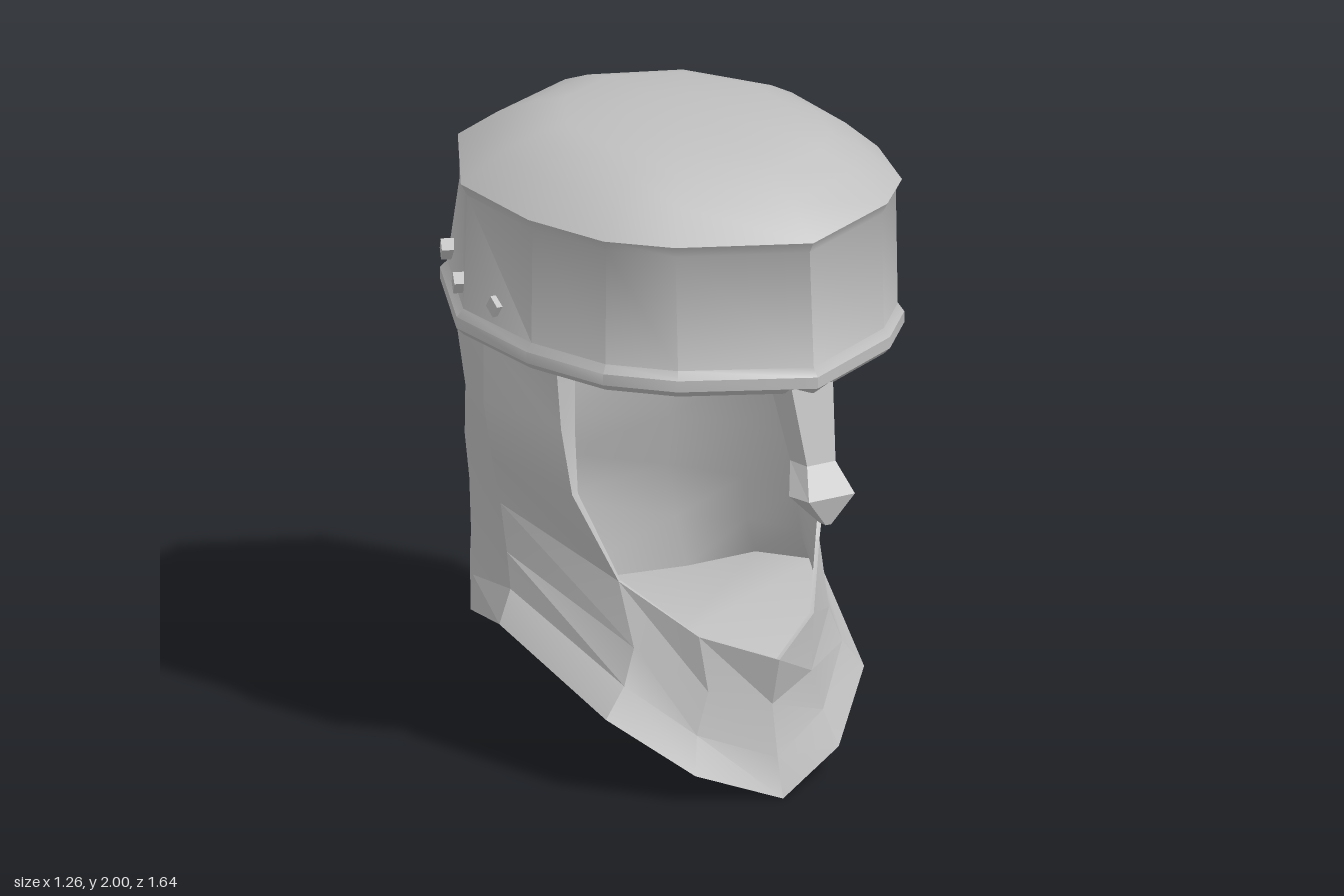
import * as THREE from 'three';
import { mergeGeometries, toCreasedNormals } from 'three/addons/utils/BufferGeometryUtils.js';

const steel = new THREE.MeshStandardMaterial({ color: 0xc0c0c0, side: THREE.DoubleSide });
steel.name = 'grey steel';

// Half a row of points (+x side, front to back) extended over the -x side
function mirrorRow(half) {
  const other = half.slice(0, -1).reverse().map(([x, y, z]) => [-x, y, z]);
  return [...half, ...other];
}

// Skin over rows of equal length, ordered from bottom to top
function loft(rows) {
  const n = rows[0].length, index = [];
  for (let r = 0; r < rows.length - 1; r++) {
    for (let c = 0; c < n - 1; c++) {
      const a = r * n + c, d = a + n;
      index.push(a, a + 1, d, a + 1, d + 1, d);
    }
  }
  const geo = new THREE.BufferGeometry();
  geo.setAttribute('position', new THREE.Float32BufferAttribute(rows.flat(2), 3));
  geo.setIndex(index);
  return geo;
}

function part(name, geo, crease) {
  const mesh = new THREE.Mesh(toCreasedNormals(geo, crease), steel);
  mesh.name = name;
  return mesh;
}

// Plan outlines [x, z], front to back
const topPlan = [[0, 0.72], [0.37, 0.54], [0.52, 0.38], [0.61, 0.1], [0.615, -0.27], [0.39, -0.65], [0, -0.815]];
const lipPlan = [[0, 0.745], [0.37, 0.555], [0.525, 0.385], [0.615, 0.1], [0.63, -0.27], [0.44, -0.67], [0, -0.82]];
const ring = (plan, s, y) => mirrorRow(plan.map(([x, z]) => [x * s, y, z * s]));

// Neck guard rows, front to back; the upper ones start at the face opening
const lowerRows = [
  [[0, 0, 0.55], [0.25, 0.09, 0.46], [0.45, 0.25, 0.28], [0.555, 0.44, -0.15], [0.5, 0.4, -0.4], [0.36, 0.33, -0.57], [0, 0.28, -0.77]],
  [[0, 0.12, 0.52], [0.22, 0.2, 0.42], [0.38, 0.34, 0.27], [0.51, 0.54, -0.16], [0.48, 0.5, -0.42], [0.36, 0.47, -0.63], [0, 0.54, -0.8]],
  [[0, 0.28, 0.49], [0.18, 0.33, 0.42], [0.34, 0.45, 0.26], [0.51, 0.65, -0.18], [0.48, 0.63, -0.43], [0.34, 0.63, -0.65], [0, 0.7, -0.75]],
  [[0, 0.43, 0.53], [0.2, 0.5, 0.4], [0.35, 0.64, 0.19], [0.52, 0.8, -0.2], [0.48, 0.8, -0.44], [0.32, 0.8, -0.6], [0, 0.85, -0.67]],
];
const upperRows = [
  lowerRows[3].slice(2),
  [[0.45, 0.9, 0.09], [0.55, 0.95, -0.2], [0.49, 0.94, -0.45], [0.3, 0.95, -0.62], [0, 0.98, -0.68]],
  [[0.47, 1.1, 0.06], [0.58, 1.13, -0.2], [0.5, 1.1, -0.43], [0.3, 1.12, -0.63], [0, 1.12, -0.69]],
  [[0.49, 1.34, 0.06], [0.58, 1.34, -0.2], [0.46, 1.34, -0.57], [0.3, 1.34, -0.66], [0, 1.34, -0.76]],
];
const shrink = (row, k) => row.map(([x, y, z]) => [x * k, y, z * k]);

function neckGuard() {
  const group = new THREE.Group();
  group.name = 'neckGuard';
  const skin = (lower, upper) => mergeGeometries([loft(lower.map(mirrorRow)), loft(upper.map(mirrorRow))]);
  group.add(part('outerGuard', skin(lowerRows, upperRows), 0.25));

  // Smooth lining, thicker towards the top
  const liningLower = lowerRows.map((row) => shrink(row, 0.97));
  const liningUpper = upperRows.map((row, i) => shrink(row, [0.97, 0.95, 0.89, 0.85][i]));
  group.add(part('lining', skin(liningLower, liningUpper), Math.PI));

  // Rim joining guard and lining around the face opening
  const edge = (lower, upper) => {
    const half = [...lower[3].slice(0, 3), ...upper.slice(1).map((row) => row[0])];
    return mirrorRow([...half].reverse());
  };
  group.add(part('openingEdge', loft([edge(liningLower, liningUpper), edge(lowerRows, upperRows)]), 0.4));

  // Shallow cap under the hem
  const hem = mirrorRow(lowerRows[0]);
  group.add(part('undersideCap', loft([hem.map(() => [0, 0.29, -0.1]), hem]), Math.PI / 2));
  return group;
}

function nasal() {
  // [y, half width, front z, back z]
  const sections = [[0.94, 0.012, 0.805, 0.77], [1.03, 0.1, 0.825, 0.745], [1.12, 0.062, 0.765, 0.69], [1.35, 0.09, 0.715, 0.62]];
  const rows = sections.map(([y, w, f, b]) => [[-w * 0.8, y, f], [w * 0.8, y, f], [w, y, b], [-w, y, b], [-w * 0.8, y, f]]);
  return part('nasalBar', loft(rows), 0.01);
}

function rivets() {
  const group = new THREE.Group();
  group.name = 'rivets';
  const spots = [[0.597, -0.09, 1.57], [0.585, -0.32, 1.99], [0.46, -0.59, 2.02], [0.25, -0.72, 2.8]];
  for (const side of [1, -1]) {
    for (const [x, z, turn] of spots) {
      const rivet = new THREE.Mesh(new THREE.BoxGeometry(0.045, 0.045, 0.045), steel);
      rivet.name = 'rivet';
      rivet.position.set(side * x, 1.47, z);
      rivet.rotation.set(0, side * turn, Math.PI / 4 + 0.2);
      group.add(rivet);
    }
  }
  return group;
}

export function createModel() {
  const model = new THREE.Group();
  model.name = 'helmet';

  // Low dome
  const dome = [[1, 1.8], [0.83, 1.89], [0.67, 1.945], [0.53, 1.975], [0.25, 1.993], [0, 2]];
  model.add(part('dome', loft(dome.map(([s, y]) => ring(topPlan, s, y))), 0.7));

  // Tall band with inner wall, rolled lower lip and upper lip
  model.add(part('band', loft([
    ring(lipPlan, 0.92, 1.75),
    ring(lipPlan, 0.92, 1.34),
    ring(lipPlan, 0.97, 1.33),
    ring(lipPlan, 1, 1.35),
    ring(lipPlan, 1, 1.385),
    ring(lipPlan, 0.97, 1.41),
    ring(topPlan, 0.972, 1.765),
    ring(topPlan, 1, 1.8),
  ]), 0.65));

  model.add(nasal(), rivets(), neckGuard());
  return model;
}
